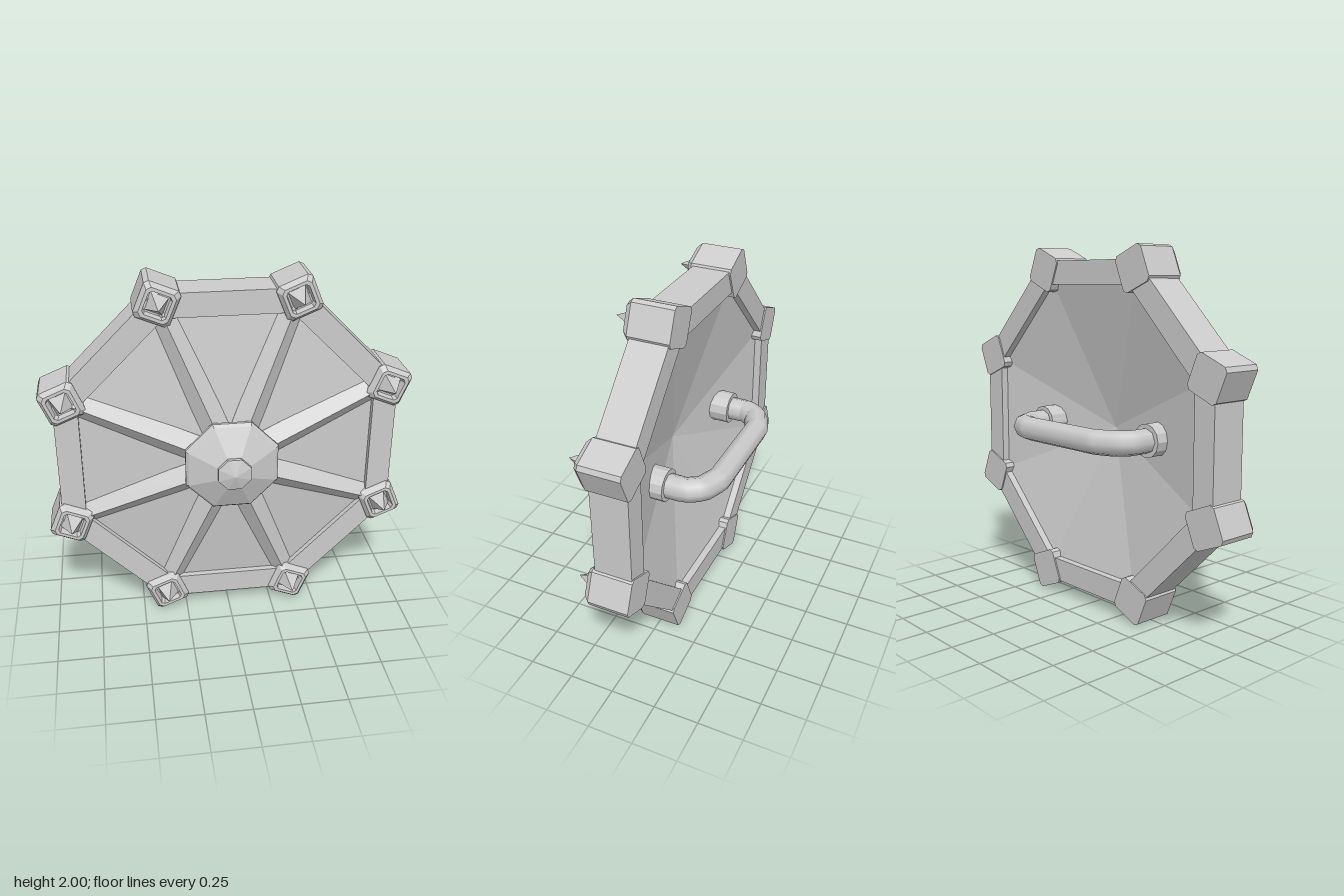
import * as THREE from 'three';

const flat = new THREE.MeshStandardMaterial({ color: 0xcccccc, flatShading: true });
const smooth = new THREE.MeshStandardMaterial({ color: 0xcccccc });

function add(parent, name, geometry, material = flat) {
  const mesh = new THREE.Mesh(geometry, material);
  mesh.name = name;
  parent.add(mesh);
  return mesh;
}

function faceted(geometry) {
  const g = geometry.index ? geometry.toNonIndexed() : geometry;
  g.computeVertexNormals();
  return g;
}

// Octagonal turned form around the z axis; profile holds [corner radius, z]
function octagon(profile) {
  const points = profile.map(([r, z]) => new THREE.Vector2(r, z));
  return faceted(new THREE.LatheGeometry(points, 8, Math.PI / 8).rotateX(Math.PI / 2));
}

// Skin stacked cross-sections (each an array of points with equal count)
function loft(rings) {
  const n = rings[0].length;
  const index = [];
  for (let i = 0; i < rings.length - 1; i++) {
    for (let j = 0; j < n; j++) {
      const a = i * n + j, b = i * n + (j + 1) % n;
      index.push(a, b, b + n, a, b + n, a + n);
    }
  }
  const g = new THREE.BufferGeometry();
  g.setAttribute('position', new THREE.Float32BufferAttribute(rings.flat(2), 3));
  g.setIndex(index);
  return faceted(g);
}

// Square with cut corners, counter-clockwise at height z
function cutSquare(h, c, z) {
  const k = h - c;
  return [[h, -k], [h, k], [k, h], [-k, h], [-h, k], [-h, -k], [-k, -h], [k, -h]]
    .map(([x, y]) => [x, y, z]);
}

export function createModel() {
  const group = new THREE.Group();
  group.name = 'octagonalShield';
  const shield = new THREE.Group();
  shield.name = 'shield';
  shield.position.y = 1;
  group.add(shield);

  // Rim frame and the shallow pyramid it holds
  add(shield, 'rim', octagon([[0.86, -0.11], [1, -0.11], [1, 0.098], [0.86, 0.098], [0.86, -0.11]]));
  add(shield, 'frontPanels', octagon([[0.87, 0.062], [0, 0.175]]));
  add(shield, 'backPanels', octagon([[0, 0.11], [0.87, -0.07]]));

  // Central boss with its cap
  add(shield, 'boss', octagon([[0, 0.19], [0.255, 0.195], [0.27, 0.208], [0.27, 0.225],
    [0.255, 0.242], [0.1, 0.312], [0, 0.312]]));
  add(shield, 'bossCap', octagon([[0.094, 0.3], [0.094, 0.331], [0, 0.358]]));

  // Ridged rib cross-section at radius r, crest at z
  const ribSection = (r, z) => [[r, 0, z], [r, -0.075, z - 0.068], [r, -0.075, z - 0.1],
    [r, 0.075, z - 0.1], [r, 0.075, z - 0.068]];
  const ribGeometry = loft([ribSection(0.1, 0.232), ribSection(0.9, 0.108)]);

  // Corner block: chamfered front lip around a recess
  const blockGeometry = loft([
    cutSquare(0, 0, -0.118), cutSquare(0.1, 0.02, -0.118), cutSquare(0.1, 0.02, 0.108),
    cutSquare(0.08, 0.02, 0.137), cutSquare(0.063, 0.015, 0.137),
    cutSquare(0.055, 0.012, 0.09), cutSquare(0, 0, 0.09),
  ]);
  const spikeGeometry = faceted(new THREE.ConeGeometry(0.05 * Math.SQRT2, 0.133, 4)
    .rotateY(Math.PI / 4).rotateX(Math.PI / 2).translate(0, 0, 0.1565));

  for (let i = 0; i < 8; i++) {
    const spoke = new THREE.Group();
    spoke.name = 'spoke';
    spoke.rotation.z = Math.PI / 8 + i * Math.PI / 4;
    shield.add(spoke);
    add(spoke, 'rib', ribGeometry);

    // Blocks stand cornerwise to the spoke
    const corner = new THREE.Group();
    corner.name = 'corner';
    corner.position.x = 0.947;
    corner.rotation.z = Math.PI / 4;
    spoke.add(corner);
    add(corner, 'cornerBlock', blockGeometry);
    add(corner, 'spike', spikeGeometry);
  }

  // Grip on the back, a bent tube set in two collars
  const half = [[0.43, 0.06], [0.43, -0.17], [0.385, -0.245], [0.27, -0.29]];
  const path = new THREE.CurvePath();
  const pts = [...half.map(([x, z]) => new THREE.Vector3(-x, 0, z)),
    ...half.slice().reverse().map(([x, z]) => new THREE.Vector3(x, 0, z))];
  for (let i = 0; i < pts.length - 1; i++) path.add(new THREE.LineCurve3(pts[i], pts[i + 1]));
  add(shield, 'handle', new THREE.TubeGeometry(path, 48, 0.067, 8), smooth);
  for (const side of [-1, 1]) {
    const collar = add(shield, 'handleCollar',
      new THREE.CylinderGeometry(0.09, 0.09, 0.12, 12).rotateX(Math.PI / 2));
    collar.position.set(side * 0.43, 0, -0.015);
  }
  return group;
}
